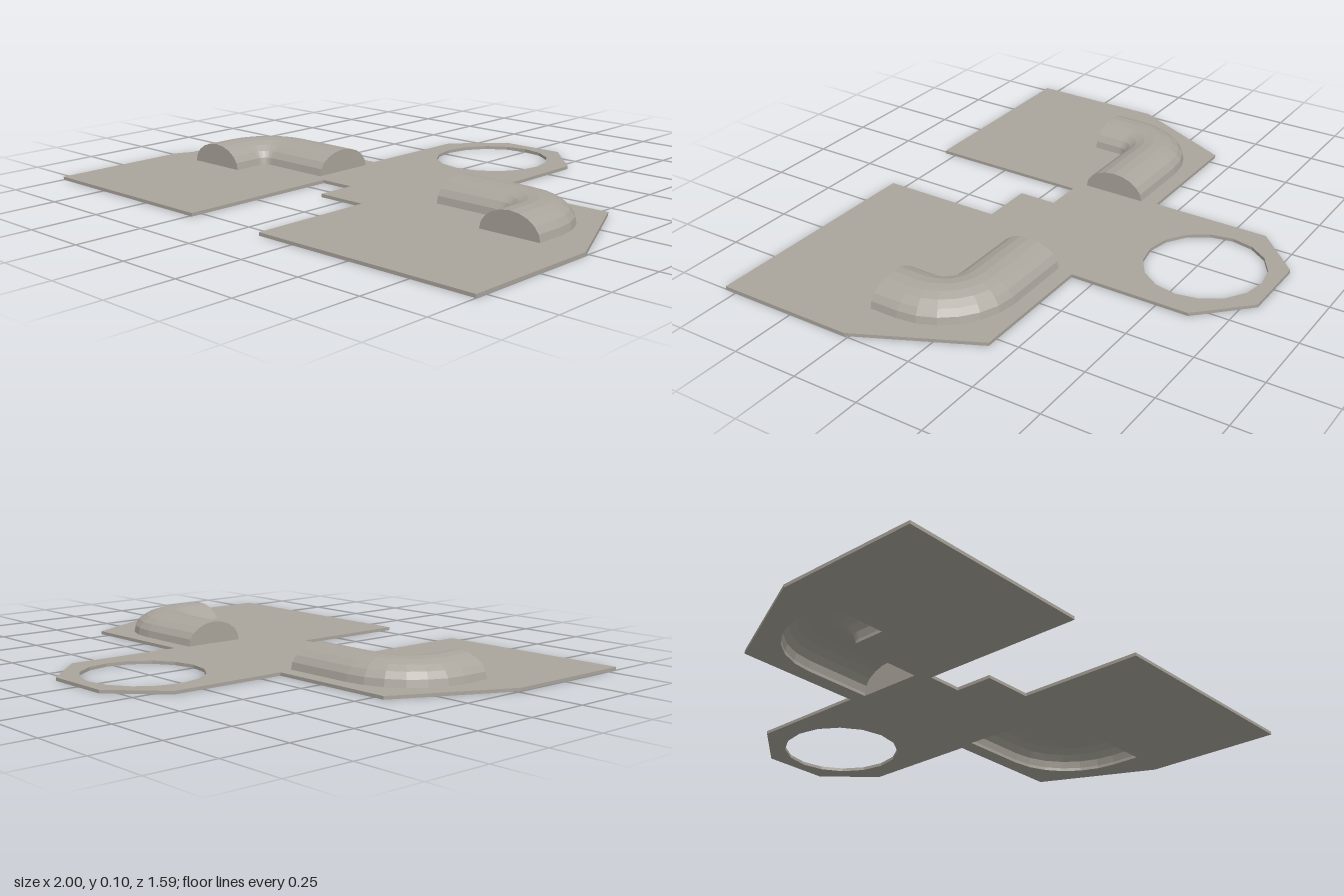
import * as THREE from 'three';

const THICK = 0.012;        // plate thickness
const HALF_W = 0.123;       // channel half width
const RISE = 0.084;         // channel height above the plate
const ARC = 10;             // facets across the channel
const BEND = { x: 0.562, z: 0.175, r: 0.157, steps: 6 };

// Channel centreline stations with the outward horizontal normal (for the +x side)
function stations() {
  const list = [{ x: 0.29, z: BEND.z - BEND.r, nx: 0, nz: -1 }];
  for (let i = 0; i <= BEND.steps; i++) {
    const a = (i / BEND.steps) * Math.PI / 2;
    const nx = Math.sin(a), nz = -Math.cos(a);
    list.push({ x: BEND.x + BEND.r * nx, z: BEND.z + BEND.r * nz, nx, nz });
  }
  list.push({ x: BEND.x + BEND.r, z: 0.285, nx: 1, nz: 0 });
  return list;
}

// Hollow half-elliptical bent channel, closed at both ends, open below
function channelGeometry(side) {
  const path = stations(), pos = [], idx = [];
  const row = ARC + 1;
  const tri = (a, b, c) => (side > 0 ? idx.push(a, b, c) : idx.push(a, c, b));
  for (const s of path) {
    for (let j = 0; j <= ARC; j++) {
      const t = (j / ARC) * Math.PI, w = HALF_W * Math.cos(t);
      pos.push(side * (s.x + s.nx * w), THICK + RISE * Math.sin(t), s.z + s.nz * w);
    }
  }
  for (let i = 0; i < path.length - 1; i++) {
    for (let j = 0; j < ARC; j++) {
      const a = i * row + j, b = a + row;
      tri(a, a + 1, b + 1);
      tri(a, b + 1, b);
    }
  }
  const last = (path.length - 1) * row;
  for (let j = 1; j < ARC; j++) {
    tri(0, j + 1, j);
    tri(last, last + j, last + j + 1);
  }
  const indexed = new THREE.BufferGeometry();
  indexed.setAttribute('position', new THREE.Float32BufferAttribute(pos, 3));
  indexed.setIndex(idx);
  const geo = indexed.toNonIndexed();
  geo.computeVertexNormals();
  return geo;
}

// Opening in the plate under a channel
function channelOpening(side) {
  const path = stations();
  const edge = (w) => path.map((s) => new THREE.Vector2(side * (s.x + s.nx * w), -(s.z + s.nz * w)));
  return new THREE.Path([...edge(HALF_W), ...edge(-HALF_W).reverse()]);
}

// Flat plate with a ring-shaped tab at the back and a stepped slot at the front
function plateGeometry() {
  const outline = [
    [-1, 0.795], [-0.24, 0.795], [-0.24, 0.172], [-0.1, 0.172], [-0.1, 0.32], [0.1, 0.32],
    [0.1, 0.795], [1, 0.795], [1, 0.265], [0.795, -0.165], [0.302, -0.165], [0.302, -0.623],
    [0.13, -0.797], [-0.13, -0.797], [-0.302, -0.623], [-0.302, -0.165], [-0.795, -0.165], [-1, 0.265],
  ];
  const shape = new THREE.Shape(outline.map(([x, z]) => new THREE.Vector2(x, -z)));
  const ring = [];
  for (let i = 0; i < 16; i++) {
    const a = (i / 16) * Math.PI * 2;
    ring.push(new THREE.Vector2(0.22 * Math.cos(a), 0.53 + 0.22 * Math.sin(a)));
  }
  shape.holes.push(new THREE.Path(ring), channelOpening(1), channelOpening(-1));
  const geo = new THREE.ExtrudeGeometry(shape, { depth: THICK, bevelEnabled: false });
  geo.rotateX(-Math.PI / 2);
  return geo;
}

export function createModel() {
  const metal = new THREE.MeshStandardMaterial({
    color: 0xaaa59c, flatShading: true, side: THREE.DoubleSide,
  });
  metal.name = 'warmGrey';

  const model = new THREE.Group();
  model.name = 'channelledPlate';
  const add = (name, geo) => {
    const mesh = new THREE.Mesh(geo, metal);
    mesh.name = name;
    model.add(mesh);
  };
  add('basePlate', plateGeometry());
  add('leftChannel', channelGeometry(1));
  add('rightChannel', channelGeometry(-1));
  return model;
}
